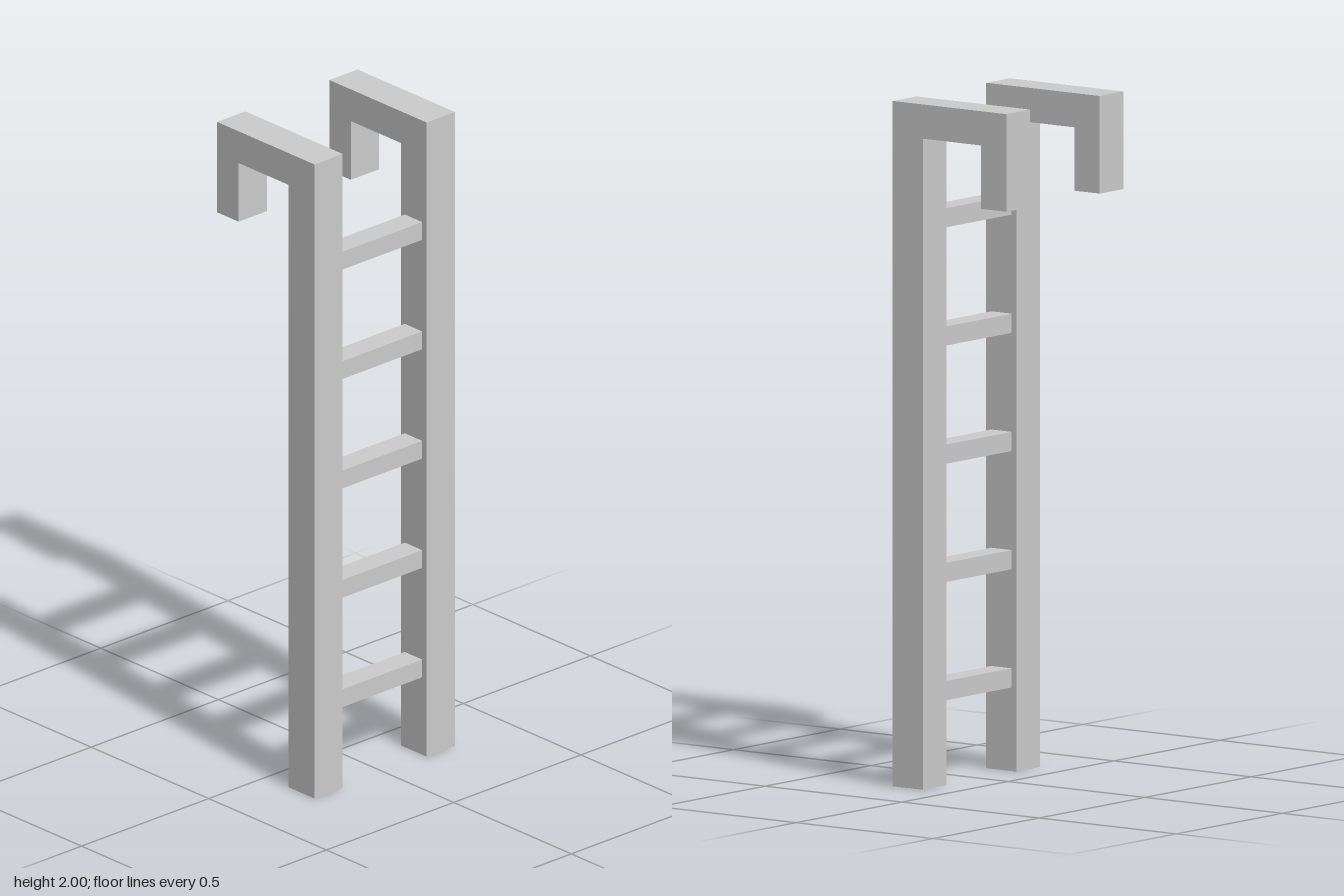
import * as THREE from 'three';

export function createModel() {
  const group = new THREE.Group();
  const material = new THREE.MeshStandardMaterial({ color: 0xcccccc, flatShading: true });

  // Hooked side rails: one outline, extruded along z
  const outline = [
    [0.097, 0], [0.207, 0], [0.207, 2], [-0.207, 2],
    [-0.207, 1.715], [-0.115, 1.715], [-0.115, 1.9], [0.097, 1.9],
  ].map(([x, y]) => new THREE.Vector2(x, y));
  const inner = 0.165, thickness = 0.111;
  const railGeometry = new THREE.ExtrudeGeometry(new THREE.Shape(outline), {
    depth: thickness, bevelEnabled: false,
  });
  for (const [name, z] of [['frontRail', inner], ['backRail', -inner - thickness]]) {
    const rail = new THREE.Mesh(railGeometry, material);
    rail.name = name;
    rail.position.z = z;
    group.add(rail);
  }

  // Evenly spaced rungs between the rails
  const rungGeometry = new THREE.BoxGeometry(0.074, 0.056, inner * 2);
  for (let i = 0; i < 5; i++) {
    const rung = new THREE.Mesh(rungGeometry, material);
    rung.name = `rung${i + 1}`;
    rung.position.set(0.151, 0.272 + i * 0.345, 0);
    group.add(rung);
  }

  return group;
}
